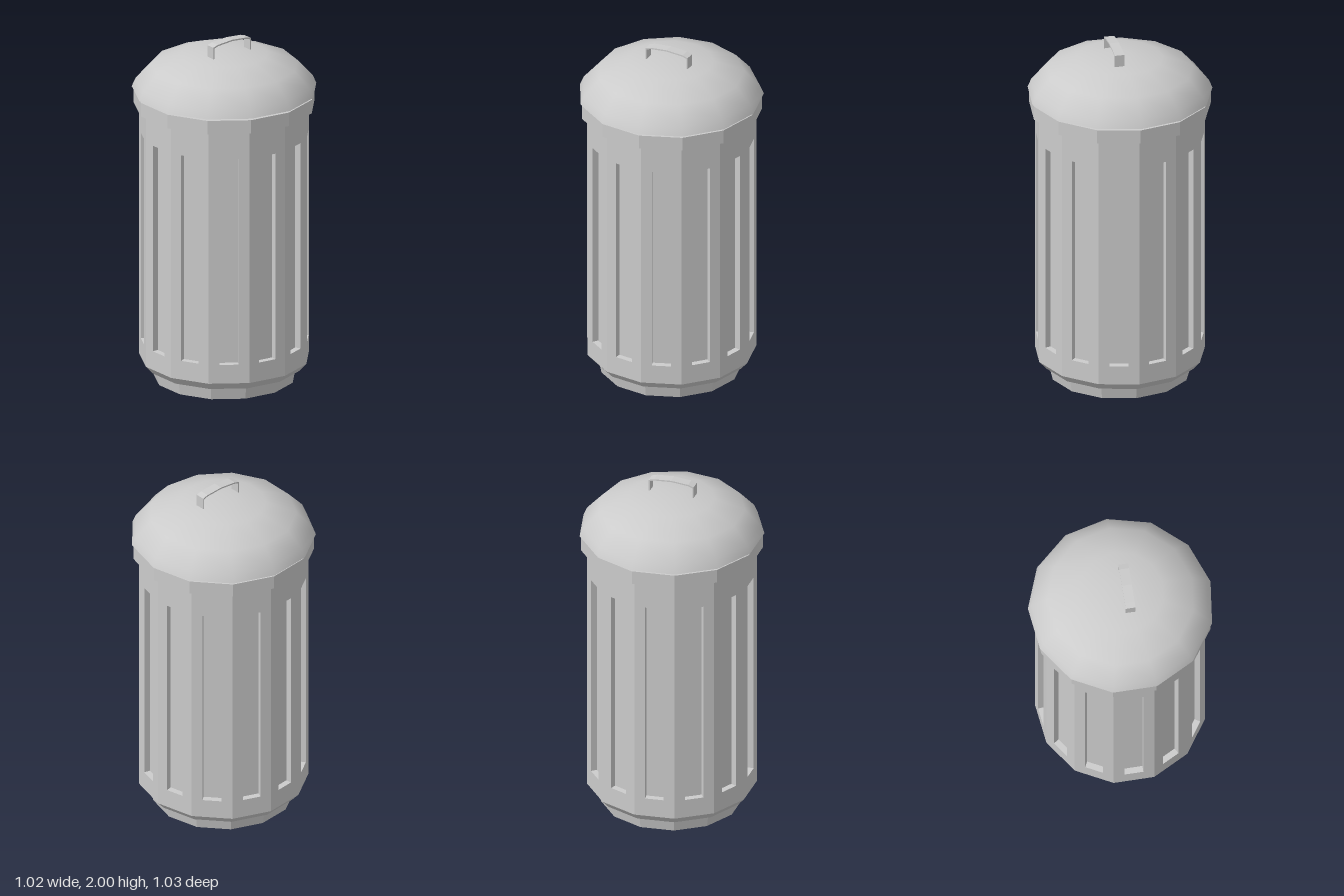
import * as THREE from 'three';
import { mergeGeometries, toCreasedNormals } from 'three/addons/utils/BufferGeometryUtils.js';

const SIDES = 13;
const STEP = (Math.PI * 2) / SIDES;
const flat = new THREE.MeshStandardMaterial({ color: 0xcccccc, flatShading: true });
const smooth = new THREE.MeshStandardMaterial({ color: 0xcccccc });

// Thirteen-sided solid of revolution with one corner on +x
function turned(points) {
  return new THREE.LatheGeometry(points.map(([r, y]) => new THREE.Vector2(r, y)), SIDES, Math.PI / 2);
}

function add(parent, name, geometry, material) {
  const mesh = new THREE.Mesh(geometry, material);
  mesh.name = name;
  parent.add(mesh);
  return mesh;
}

function rectangle(path, x0, y0, x1, y1) {
  return path.moveTo(x0, y0).lineTo(x1, y0).lineTo(x1, y1).lineTo(x0, y1).closePath();
}

// One flat wall face with a tall recessed panel
function wallFace(radius, y0, y1) {
  const depth = 0.035, slotHalf = 0.053, slotBottom = 0.23, slotTop = 1.445;
  const half = radius * Math.sin(STEP / 2);
  const apothem = radius * Math.cos(STEP / 2);
  const shape = rectangle(new THREE.Shape(), -half, y0, half, y1);
  shape.holes.push(rectangle(new THREE.Path(), -slotHalf, slotBottom, slotHalf, slotTop));
  const frame = new THREE.ExtrudeGeometry(shape, { depth, bevelEnabled: false });
  frame.translate(0, 0, apothem - depth);
  const back = new THREE.PlaneGeometry(slotHalf * 2, slotTop - slotBottom).toNonIndexed();
  back.translate(0, (slotBottom + slotTop) / 2, apothem - depth);
  return mergeGeometries([frame, back]);
}

export function createModel() {
  const model = new THREE.Group();
  model.name = 'trashCan';
  const can = new THREE.Group();
  can.name = 'can';
  can.position.x = -0.0075; // an odd number of sides sits off centre
  model.add(can);

  // Foot and the chamfer below the wall
  add(can, 'base', turned([
    [0, 0], [0.397, 0], [0.412, 0.075], [0.437, 0.075], [0.477, 0.12], [0.43, 0.12],
  ]), flat);

  // Panelled wall
  const wall = new THREE.Group();
  wall.name = 'wall';
  can.add(wall);
  const face = wallFace(0.477, 0.12, 1.61);
  for (let i = 0; i < SIDES; i++) {
    add(wall, 'wallPanel', face, flat).rotation.y = Math.PI / 2 + (i + 0.5) * STEP;
  }

  // Rim band and hollow inside
  add(can, 'rimAndLiner', turned([
    [0.43, 1.605], [0.5085, 1.605], [0.5085, 1.685], [0.43, 1.685], [0.43, 0.12], [0, 0.12],
  ]), flat);

  // Domed lid, hovering just above the rim
  add(can, 'lid', toCreasedNormals(turned([
    [0, 1.697], [0.5175, 1.697], [0.497, 1.745], [0.41, 1.84], [0.24, 1.905], [0.07, 1.92], [0, 1.92],
  ]), 0.8), smooth);

  // Bent strap handle
  const outer = [[-0.132, 1.9], [-0.132, 1.982], [-0.1, 1.992], [0, 2], [0.1, 1.992], [0.132, 1.982], [0.132, 1.9]];
  const inner = [[0.125, 1.9], [0.125, 1.975], [0.098, 1.984], [0, 1.992], [-0.098, 1.984], [-0.125, 1.975], [-0.125, 1.9]];
  const strap = new THREE.Shape([...outer, ...inner].map(([x, y]) => new THREE.Vector2(x, y)));
  const handle = add(model, 'handle', new THREE.ExtrudeGeometry(strap, { depth: 0.055, bevelEnabled: false }), flat);
  handle.position.set(-0.002, 0, 0.007);

  return model;
}
